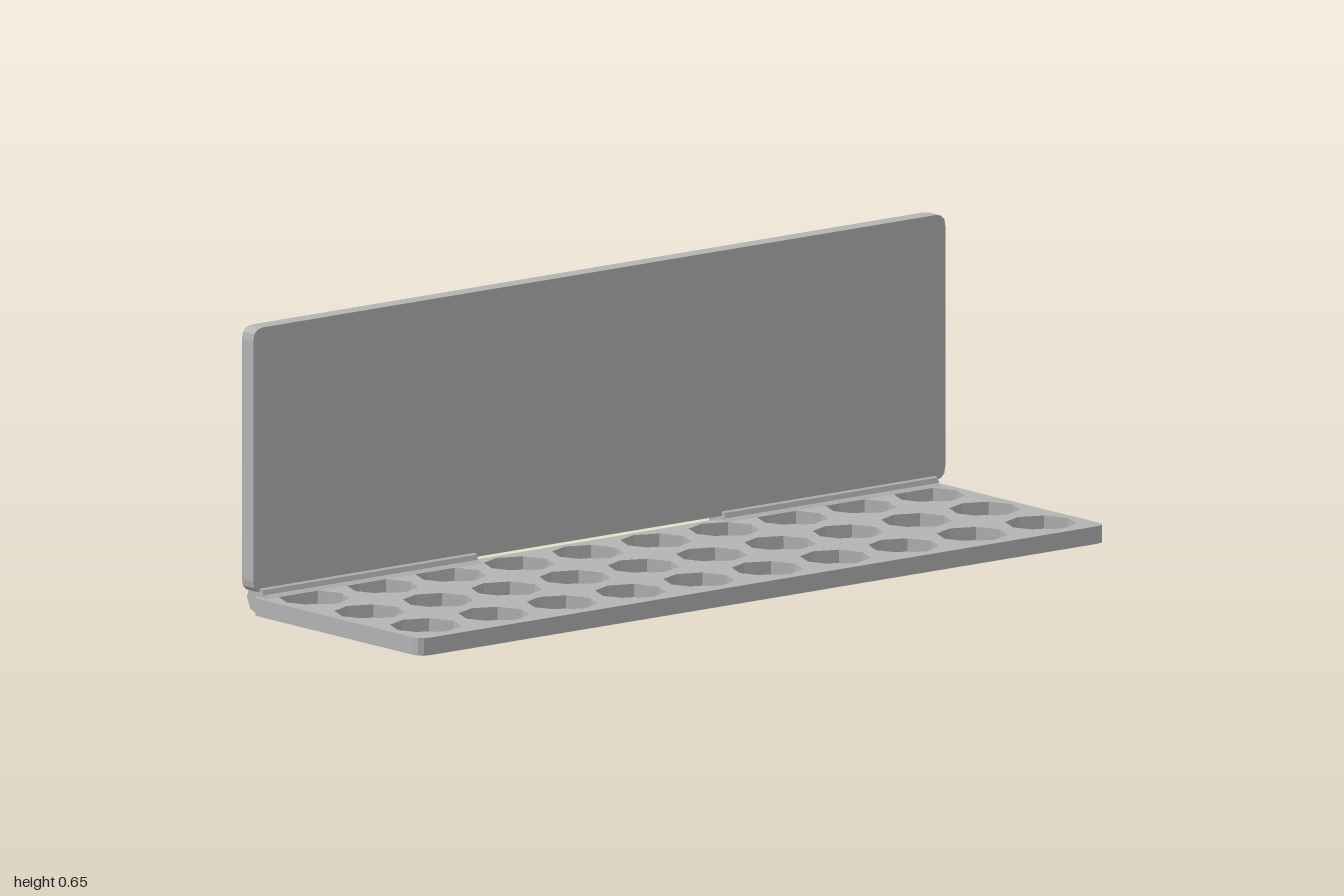
import * as THREE from 'three';

const gray = new THREE.MeshStandardMaterial({ color: 0xb4b4b4 });
gray.name = 'plain gray';

// Rectangle with softly clipped corners
function roundedRect(x0, y0, x1, y1, r) {
  const s = new THREE.Shape();
  s.moveTo(x0 + r, y0);
  s.lineTo(x1 - r, y0);
  s.quadraticCurveTo(x1, y0, x1, y0 + r);
  s.lineTo(x1, y1 - r);
  s.quadraticCurveTo(x1, y1, x1 - r, y1);
  s.lineTo(x0 + r, y1);
  s.quadraticCurveTo(x0, y1, x0, y1 - r);
  s.lineTo(x0, y0 + r);
  s.quadraticCurveTo(x0, y0, x0 + r, y0);
  return s;
}

function extrude(shape, depth) {
  return new THREE.ExtrudeGeometry(shape, { depth, bevelEnabled: false, curveSegments: 3 });
}

export function createModel() {
  const group = new THREE.Group();
  const add = (name, geometry) => {
    const mesh = new THREE.Mesh(geometry, gray);
    mesh.name = name;
    group.add(mesh);
    return mesh;
  };

  // Tray: a thin floor under a plate pierced by octagonal wells
  const trayOutline = () => roundedRect(-0.995, -0.315, 0.988, 0.283, 0.028);
  const floorY = 0.01, trayTop = 0.04;
  add('trayFloor', extrude(trayOutline(), floorY).rotateX(-Math.PI / 2));

  const plate = trayOutline();
  for (let col = 0; col < 10; col++) {
    for (let row = 0; row < 3; row++) {
      const cx = -0.89 + col * 0.1975;
      const cy = 0.187 - row * 0.196;
      const corners = [];
      for (let i = 0; i < 8; i++) {
        const a = -i * Math.PI / 4;
        corners.push(new THREE.Vector2(cx + 0.08 * Math.cos(a), cy + 0.08 * Math.sin(a)));
      }
      plate.holes.push(new THREE.Path(corners));
    }
  }
  add('trayWells', extrude(plate, trayTop - floorY).rotateX(-Math.PI / 2).translate(0, floorY, 0));

  // Upright lid
  add('lid', extrude(roundedRect(-1, 0.05, 1, 0.655, 0.028), 0.04).translate(0, 0, -0.308));

  // Two hinges joining tray and lid; profile points are (-z, y)
  const profile = [
    [0.243, 0.04], [0.283, 0.038], [0.283, 0.001], [0.303, 0.009], [0.309, 0.022],
    [0.315, 0.034], [0.308, 0.051], [0.29, 0.056], [0.268, 0.06], [0.261, 0.057],
    [0.256, 0.046],
  ].map(([x, y]) => new THREE.Vector2(x, y));
  for (const [name, x0, x1] of [['rightHinge', -0.98, -0.36], ['leftHinge', 0.355, 0.972]]) {
    const geometry = extrude(new THREE.Shape(profile), x1 - x0);
    add(name, geometry.rotateY(Math.PI / 2).translate(x0, 0, 0));
  }
  return group;
}
